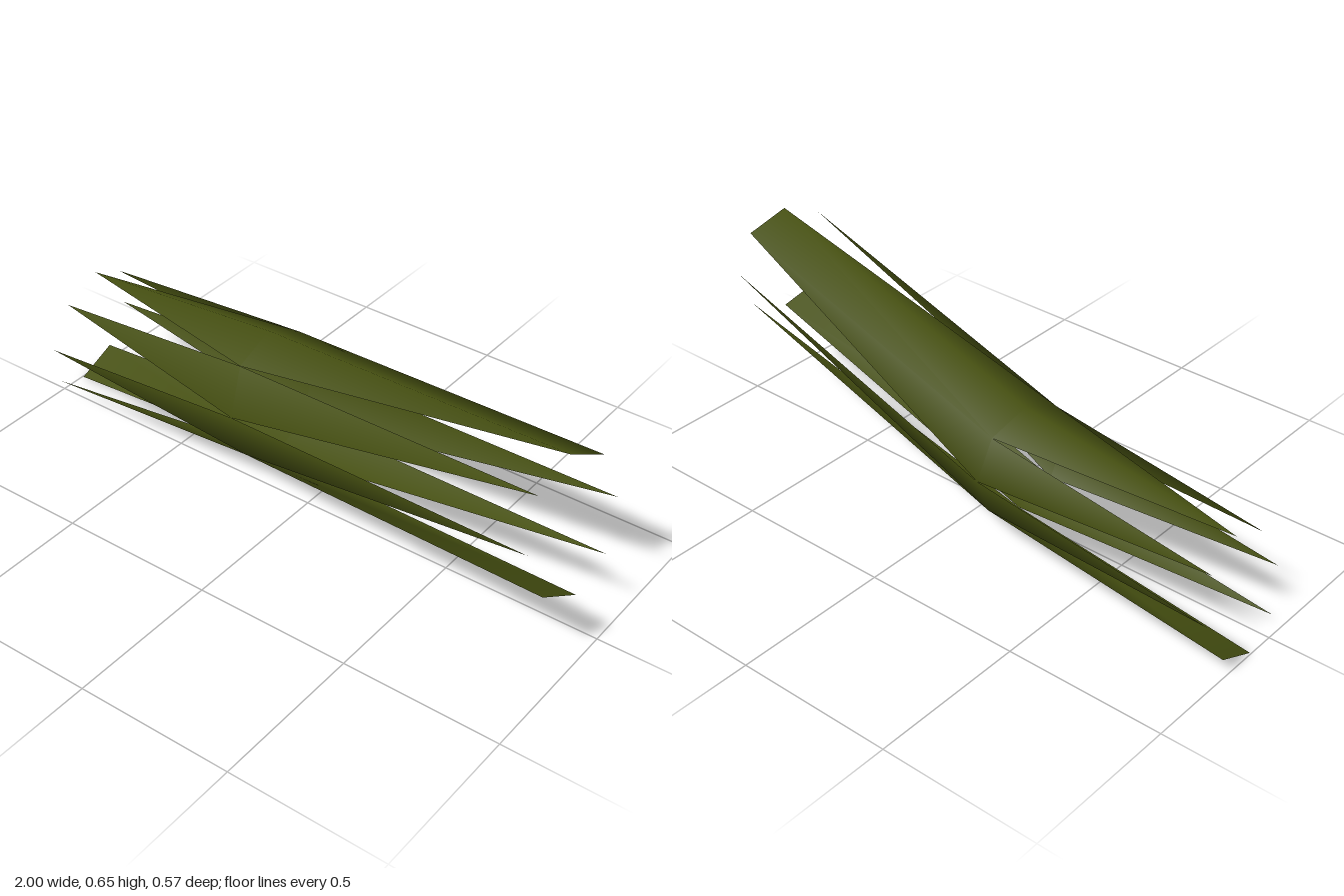
import * as THREE from 'three';

export function createModel() {
  const group = new THREE.Group();
  group.name = 'bladeBundle';
  const olive = new THREE.MeshStandardMaterial({ color: 0x465011, side: THREE.DoubleSide });
  olive.name = 'darkOlive';

  // Eight-sided ring: four (z, y) offsets, the other four are their opposites
  const half = [[0.173, -0.002], [0.106, 0.14], [-0.025, 0.198], [-0.142, 0.144]];
  const ring = [...half, ...half.map(([z, y]) => [-z, -y])];

  // Centre and tilt (x shift per unit of y and z) of the root, middle and tip rings
  const sections = [
    { x: -0.975, y: 0.205, z: -0.112, ty: 0.11, tz: 0.03 },
    { x: -0.195, y: 0.284, z: -0.082, ty: -0.17, tz: -0.12 },
    { x: 0.95, y: 0.457, z: 0.113, ty: -0.225, tz: -0.194 },
  ];
  const positions = [];
  for (const s of sections) {
    for (const [z, y] of ring) positions.push(s.x + s.ty * y + s.tz * z, s.y + y, s.z + z);
  }

  // For each side of the ring: corners kept at the root and at the tip
  // (one corner makes a pointed blade, two make a full panel)
  const sides = [
    { root: [1], tip: [1] },
    { root: [2], tip: [2] },
    { root: [2], tip: [2, 3] },
    { root: [3], tip: [3] },
    { root: [4], tip: [4] },
    { root: [5, 6], tip: [5] },
    { root: [7], tip: [6, 7] },
    { root: [0], tip: [0] },
  ];
  const index = [];
  sides.forEach(({ root, tip }, i) => {
    const a = 8 + i, b = 8 + (i + 1) % 8;
    const t = tip.map((k) => 16 + k);
    index.push(a, t[0], b);
    if (t.length > 1) index.push(b, t[0], t[1]);
    index.push(a, b, root[0]);
    if (root.length > 1) index.push(b, root[1], root[0]);
  });

  const geometry = new THREE.BufferGeometry();
  geometry.setAttribute('position', new THREE.Float32BufferAttribute(positions, 3));
  geometry.setIndex(index);
  geometry.computeVertexNormals();

  const blades = new THREE.Mesh(geometry, olive);
  blades.name = 'blades';
  group.add(blades);
  return group;
}
